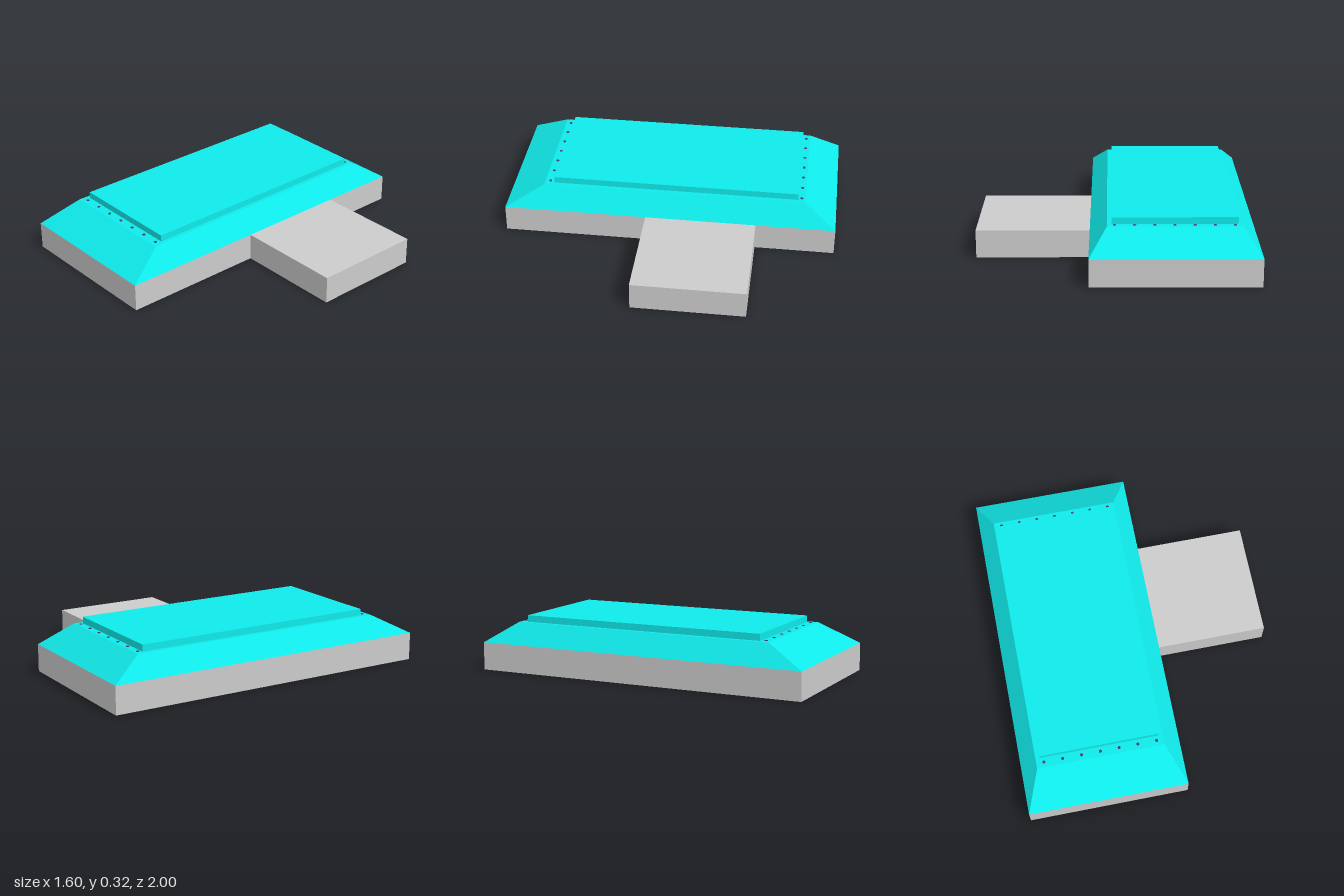
import * as THREE from 'three';

const paint = (color) => new THREE.MeshStandardMaterial({ color, flatShading: true });

// Footprint: long hall plus a side annex, as [x, z]
const FOOTPRINT = [
  [-0.8, 1], [0.147, 1], [0.147, 0.14], [0.8, 0.14],
  [0.8, -0.525], [0.147, -0.525], [0.147, -1], [-0.8, -1],
];
const WALL_TOP = 0.165, ROOF_TOP = 0.286, PANEL_TOP = 0.325;

function footprintShape(zSign) {
  return new THREE.Shape(FOOTPRINT.map(([x, z]) => new THREE.Vector2(x, zSign * z)));
}

// Box between two heights whose top rectangle may differ from its bottom one
function taperedBlock(y0, y1, bottom, top = bottom) {
  const geo = new THREE.BoxGeometry(1, 1, 1);
  const p = geo.attributes.position;
  for (let i = 0; i < p.count; i++) {
    const isTop = p.getY(i) > 0;
    const r = isTop ? top : bottom;
    p.setXYZ(i, p.getX(i) < 0 ? r.x0 : r.x1, isTop ? y1 : y0, p.getZ(i) < 0 ? r.z0 : r.z1);
  }
  geo.computeVertexNormals();
  return geo;
}

export function createModel() {
  const model = new THREE.Group();
  model.name = 'building';
  const grey = paint(0xcccccc);
  const teal = paint(0x10eaea);
  const purple = paint(0x553470);

  const add = (name, geometry, material, parent = model) => {
    const mesh = new THREE.Mesh(geometry, material);
    mesh.name = name;
    parent.add(mesh);
    return mesh;
  };

  // Walls of the hall and annex
  const walls = new THREE.ExtrudeGeometry(footprintShape(-1), { depth: WALL_TOP - 0.002, bevelEnabled: false });
  walls.rotateX(-Math.PI / 2).translate(0, 0.002, 0);
  add('walls', walls, grey);

  // Underside, facing down
  add('floor', new THREE.ShapeGeometry(footprintShape(1)).rotateX(Math.PI / 2), purple);

  // Sloped roof with a flat top
  add('roof', taperedBlock(WALL_TOP, ROOF_TOP,
    { x0: -0.8, x1: 0.147, z0: -1, z1: 1 },
    { x0: -0.705, x1: 0.048, z0: -0.812, z1: 0.772 }), teal);

  // Raised panel on the roof
  add('roofPanel', taperedBlock(ROOF_TOP, PANEL_TOP,
    { x0: -0.679, x1: 0.023, z0: -0.768, z1: 0.712 }), teal);

  // Rows of small studs at both ends of the panel
  const studs = new THREE.Group();
  studs.name = 'roofStuds';
  model.add(studs);
  const studGeo = new THREE.CylinderGeometry(0.009, 0.009, 0.006, 12);
  for (const z of [-0.788, 0.74]) {
    for (let i = 0; i < 7; i++) {
      add('stud', studGeo, purple, studs).position.set(-0.66 + i * 0.111, ROOF_TOP, z);
    }
  }
  return model;
}
